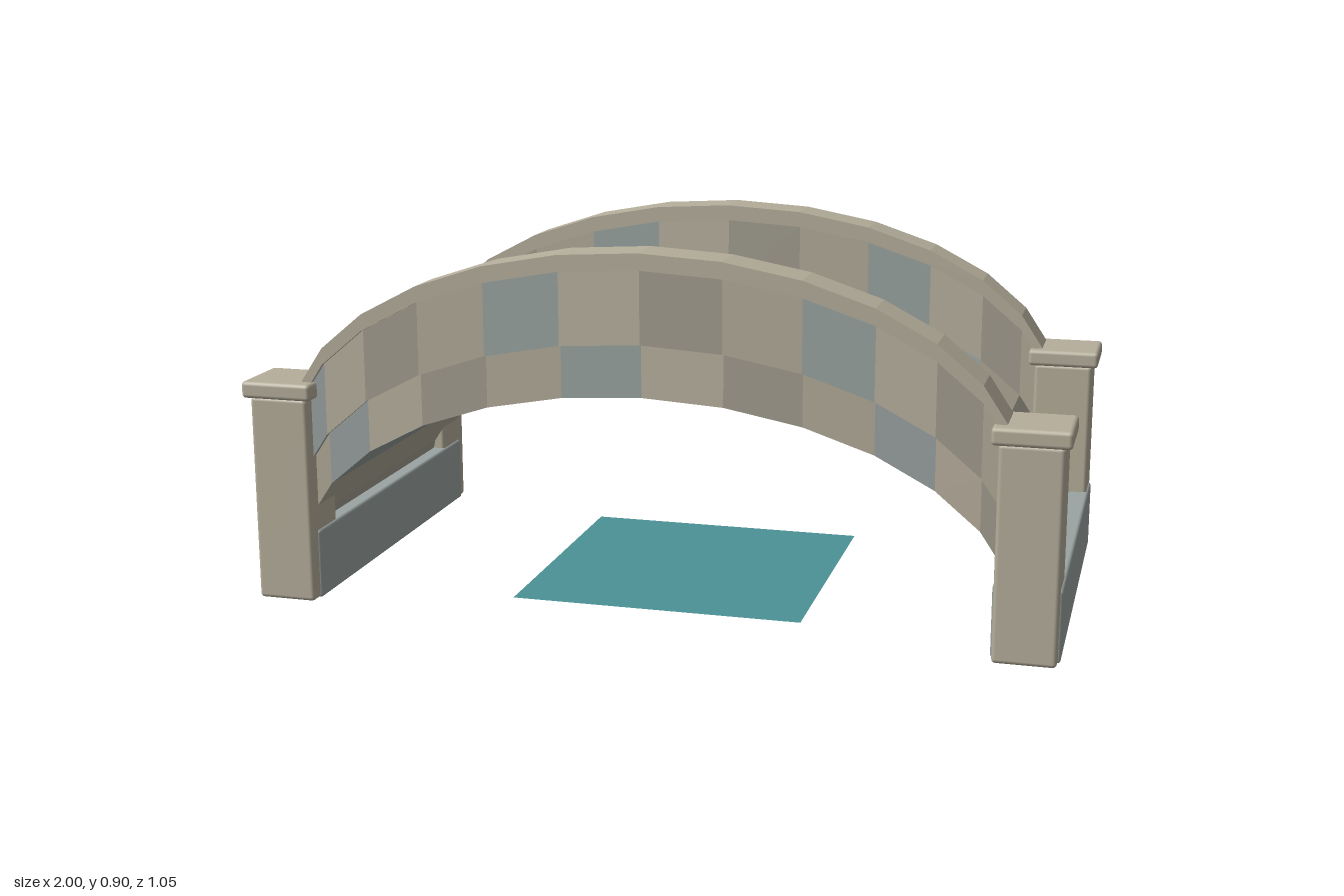
import * as THREE from 'three';
import { RoundedBoxGeometry } from 'three/addons/geometries/RoundedBoxGeometry.js';

const SEGMENTS = 14;
const SPAN = 0.885, RISE = 0.466, SPRING = 0.094;
const RAIL_END = 0.853;

const material = (color) => new THREE.MeshStandardMaterial({ color, flatShading: true });
const stone = material(0xb5ae9b);
const slate = material(0x9aa4a2);
const palette = [slate, material(0xb9b19f), material(0xa29d8f), material(0xb2ab99)];

// Points along the underside of the arch, left to right
const archPoints = () => Array.from({ length: SEGMENTS + 1 }, (_, i) => {
  const a = -Math.PI / 2 + (i / SEGMENTS) * Math.PI;
  return new THREE.Vector2(SPAN * Math.sin(a), SPRING + RISE * Math.cos(a));
});

// The same arch stopped short inside the posts
function railPoints() {
  const pts = archPoints().slice(1, -1);
  const trim = (end, next) => {
    const t = (Math.abs(end.x) - RAIL_END) / (Math.abs(end.x) - Math.abs(next.x));
    end.lerp(next, t);
  };
  trim(pts[0], pts[1]);
  trim(pts[pts.length - 1], pts[pts.length - 2]);
  return pts;
}

// Band between two vertical offsets of a curve, extruded along z
function band(points, low, high, z0, z1) {
  const lower = points.map((p) => new THREE.Vector2(p.x, p.y + low));
  const upper = points.map((p) => new THREE.Vector2(p.x, p.y + high)).reverse();
  const geometry = new THREE.ExtrudeGeometry(new THREE.Shape([...lower, ...upper]), {
    depth: z1 - z0, bevelEnabled: false,
  });
  return geometry.translate(0, 0, z0);
}

export function createModel() {
  const model = new THREE.Group();
  model.name = 'archedBridge';

  const add = (name, geometry, mat, parent = model) => {
    const mesh = new THREE.Mesh(geometry, mat);
    mesh.name = name;
    parent.add(mesh);
    return mesh;
  };
  const block = (name, w, h, d, radius, x, y, z, mat) => {
    const mat2 = mat.clone();
    mat2.flatShading = false;
    add(name, new RoundedBoxGeometry(w, h, d, 2, radius), mat2).position.set(x, y, z);
  };

  // Deck of stone slabs
  const deck = new THREE.Group();
  deck.name = 'deck';
  model.add(deck);
  const arch = archPoints();
  for (let i = 0; i < SEGMENTS; i++) {
    add('deckSlab', band(arch.slice(i, i + 2), 0, 0.128, -0.465, 0.465), palette[(i + 2) % 4], deck);
  }

  // Parapets of stone blocks, each with a continuous coping
  const rail = railPoints();
  for (const side of [1, -1]) {
    const parapet = new THREE.Group();
    parapet.name = side > 0 ? 'frontParapet' : 'backParapet';
    model.add(parapet);
    const z = side * 0.4325;
    for (let i = 0; i < rail.length - 1; i++) {
      const geometry = band(rail.slice(i, i + 2), 0.128, 0.305, z - 0.046, z + 0.046);
      add('parapetBlock', geometry, palette[(i + 4) % 4], parapet);
    }
    add('coping', band(rail, 0.305, 0.345, z - 0.058, z + 0.058), stone, parapet);
  }

  // Abutment sills, corner posts and caps
  for (const x of [-0.91, 0.91]) {
    block('abutmentSill', 0.16, 0.175, 0.95, 0.008, x, 0.0875, 0, slate);
    for (const z of [-0.4365, 0.4365]) {
      block('post', 0.148, 0.515, 0.148, 0.01, x, 0.2575, z, stone);
      block('postCap', 0.18, 0.042, 0.176, 0.01, x, 0.534, z, stone);
    }
  }

  // Water below the arch
  const waterMaterial = material(0x4a9296);
  waterMaterial.side = THREE.DoubleSide;
  const water = add('water', new THREE.PlaneGeometry(0.73, 0.73).rotateX(-Math.PI / 2), waterMaterial);
  water.position.y = 0.005;

  return model;
}
